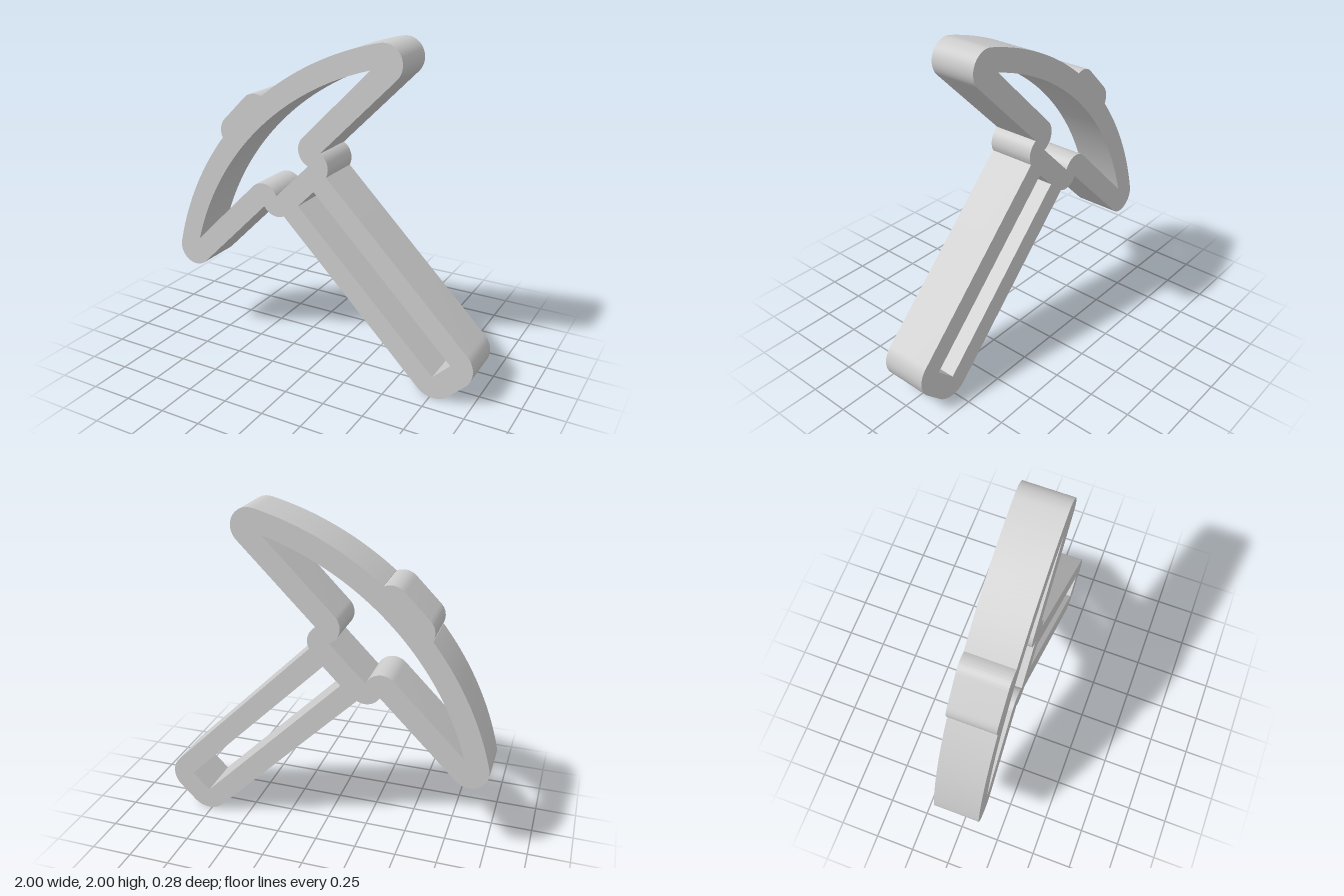
import * as THREE from 'three';
import { toCreasedNormals } from 'three/addons/utils/BufferGeometryUtils.js';

const DEPTH = 0.285;

// Points along a circular arc, angles in degrees
function arc(cx, cy, r, from, to, steps = 16) {
  return Array.from({ length: steps + 1 }, (_, i) => {
    const a = THREE.MathUtils.degToRad(from + ((to - from) * i) / steps);
    return new THREE.Vector2(cx + r * Math.cos(a), cy + r * Math.sin(a));
  });
}

// Close a right-hand half outline with its mirror image
function mirrored(half) {
  const left = half.map((p) => new THREE.Vector2(-p.x, p.y)).reverse();
  return [...half, ...left];
}

export function createModel() {
  // Outer outline: handle end, collar, canopy tip, canopy arc, top knob
  const outer = mirrored([
    ...arc(0.065, -1.154, 0.137, -90, 0),
    ...arc(0.173, 0.2, 0.1, -73, 16),
    ...arc(0.919, 0.339, 0.11, -90, 58.3, 24),
    ...arc(0, -1.15, 1.86, 58.6, 83.8, 32),
    ...arc(0.103, 0.668, 0.1, 17, 90),
  ]);

  // Canopy opening: rounded lobes at the neck, pointed ends, curved top
  const canopyOpening = mirrored([
    ...arc(0.245, 0.262, 0.1, 203.6, 90),
    ...arc(0, -1.15, 1.73, 61, 89, 40),
  ]);

  // Narrow slot down the handle
  const handleSlot = mirrored([
    new THREE.Vector2(0.074, -1.15),
    new THREE.Vector2(0.074, 0.092),
  ]);

  const shape = new THREE.Shape(outer);
  shape.holes.push(new THREE.Path(canopyOpening), new THREE.Path(handleSlot));

  let geometry = new THREE.ExtrudeGeometry(shape, { depth: DEPTH, bevelEnabled: false });
  geometry.translate(0, 0, -DEPTH / 2);
  geometry = toCreasedNormals(geometry, Math.PI / 6);

  const frame = new THREE.Mesh(geometry, new THREE.MeshStandardMaterial({ color: 0xcccccc }));
  frame.name = 'canopyAndHandleFrame';
  // Lean the whole outline on the diagonal
  frame.rotation.z = Math.PI / 4;
  frame.position.y = 1;

  const model = new THREE.Group();
  model.name = 'outlineFrame';
  model.add(frame);
  return model;
}
